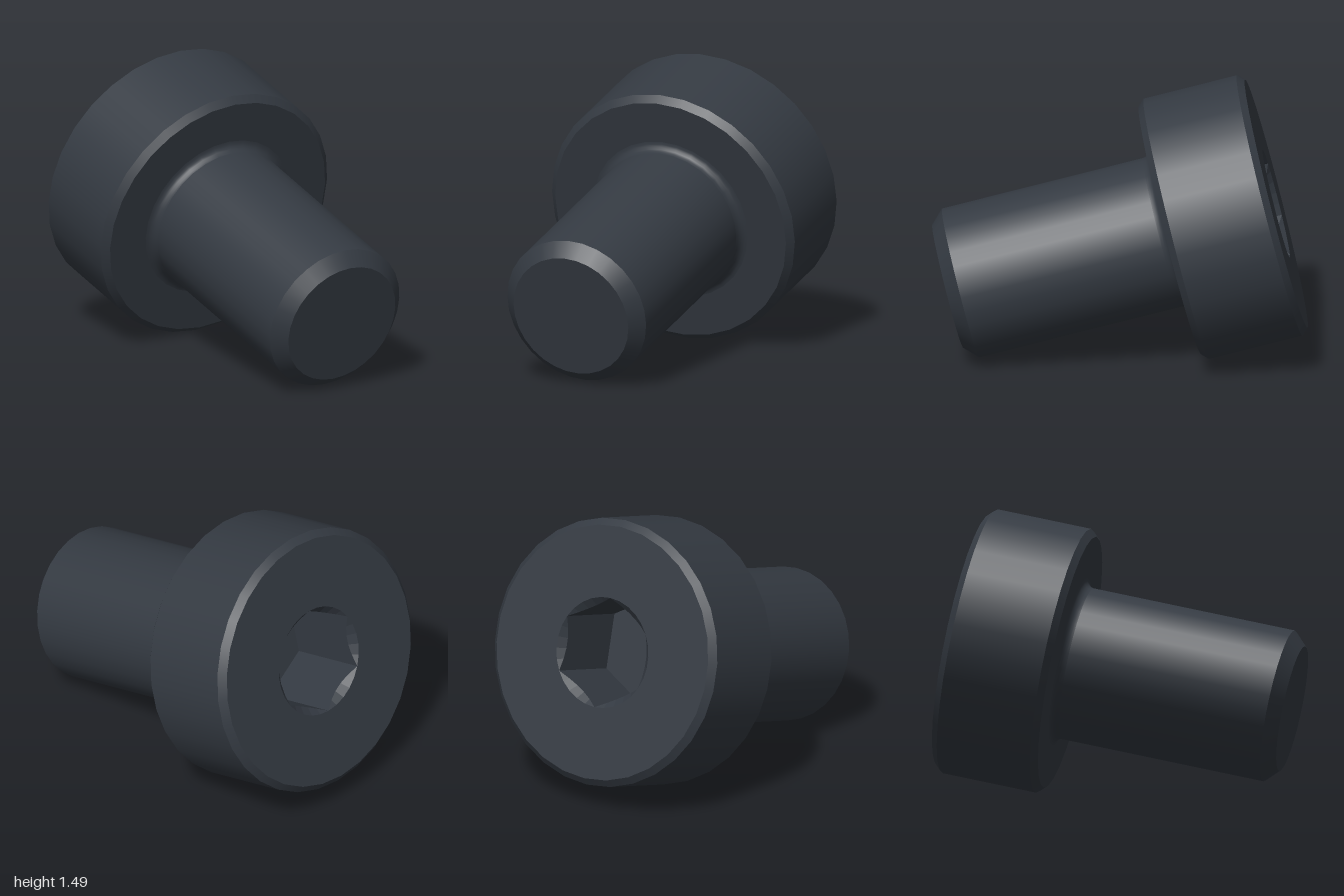
import * as THREE from 'three';

const SIDES = 30;
const SHANK_R = 0.403, HEAD_R = 0.705, BEVEL = 0.035;
const HEAD_BASE = 1.2, HEAD_TOP = 1.773;
const HEX_R = 0.252, MOUTH_R = HEX_R / Math.cos(Math.PI / 6), SOCKET_DEPTH = 0.44;

export function createModel() {
  const steel = new THREE.MeshStandardMaterial({ color: 0x343a42 });
  steel.name = 'dark steel';

  const add = (group, name, geometry) => {
    const mesh = new THREE.Mesh(geometry, steel);
    mesh.name = name;
    group.add(mesh);
  };
  const part = (name) => {
    const group = new THREE.Group();
    group.name = name;
    return group;
  };
  // One turned surface per profile run, so edges between runs stay sharp
  const turn = (group, name, ...points) =>
    add(group, name, new THREE.LatheGeometry(points.map(([r, y]) => new THREE.Vector2(r, y)), SIDES));

  // Shank: flat tip, 45 degree chamfer, plain cylinder, fillet under the head
  const shank = part('shank');
  const fillet = 0.045, tip = 0.07;
  turn(shank, 'tipFace', [0, 0], [SHANK_R - tip, 0]);
  turn(shank, 'tipChamfer', [SHANK_R - tip, 0], [SHANK_R, tip]);
  turn(shank, 'shankSide', [SHANK_R, tip], [SHANK_R, HEAD_BASE - fillet]);
  const arc = [];
  for (let i = 0; i <= 5; i++) {
    const a = (i / 5) * Math.PI / 2;
    arc.push([SHANK_R + fillet * (1 - Math.cos(a)), HEAD_BASE - fillet * (1 - Math.sin(a))]);
  }
  turn(shank, 'neckFillet', ...arc);

  // Head: a bevelled disc with a round opening in its top
  const head = part('head');
  const flatR = HEAD_R - BEVEL;
  turn(head, 'headUnderside', [SHANK_R + fillet, HEAD_BASE], [flatR, HEAD_BASE]);
  turn(head, 'lowerBevel', [flatR, HEAD_BASE], [HEAD_R, HEAD_BASE + BEVEL]);
  turn(head, 'headSide', [HEAD_R, HEAD_BASE + BEVEL], [HEAD_R, HEAD_TOP - BEVEL]);
  turn(head, 'upperBevel', [HEAD_R, HEAD_TOP - BEVEL], [flatR, HEAD_TOP]);
  turn(head, 'headFace', [flatR, HEAD_TOP], [MOUTH_R, HEAD_TOP]);

  // Hex socket: a conical countersink meeting six flat walls, and a floor
  const socket = part('hexSocket');
  const cone = [], walls = [];
  const floorY = HEAD_TOP - SOCKET_DEPTH;
  const at = (r, y, t) => [r * Math.sin(t), y, r * Math.cos(t)];
  const quad = (out, a, b, c, d) => out.push(...a, ...b, ...c, ...a, ...c, ...d);
  for (let i = 0; i < SIDES; i++) {
    const mid = (Math.floor(i / 5) + 0.5) * Math.PI / 3;
    const [p, q] = [i, i + 1].map((k) => {
      const t = (k / SIDES) * Math.PI * 2;
      const r = HEX_R / Math.cos(t - mid);
      return {
        rim: at(MOUTH_R, HEAD_TOP, t),
        edge: at(r, HEAD_TOP - (MOUTH_R - r), t),
        base: at(r, floorY, t),
      };
    });
    quad(cone, p.rim, q.rim, q.edge, p.edge);
    quad(walls, p.edge, q.edge, q.base, p.base);
  }
  const surface = (positions) => {
    const g = new THREE.BufferGeometry();
    g.setAttribute('position', new THREE.Float32BufferAttribute(positions, 3));
    g.computeVertexNormals();
    return g;
  };
  add(socket, 'countersink', surface(cone));
  add(socket, 'socketWalls', surface(walls));
  add(socket, 'socketFloor',
    new THREE.CircleGeometry(MOUTH_R, 6, Math.PI / 2).rotateX(-Math.PI / 2).translate(0, floorY, 0));

  // Tilt the whole screw: local y runs from the tip to the head
  const screw = part('capScrew');
  screw.add(shank, head, socket);
  const axis = new THREE.Vector3(-0.948, 0.2465, -0.202).normalize();
  const up = new THREE.Vector3(0, 1, 0).addScaledVector(axis, -axis.y).normalize();
  const side = new THREE.Vector3().crossVectors(axis, up);
  screw.quaternion.setFromRotationMatrix(new THREE.Matrix4().makeBasis(side, axis, up));
  screw.position.set(0.894, 0.379, 0.3);

  const model = new THREE.Group();
  model.name = 'socketScrew';
  model.add(screw);
  return model;
}
